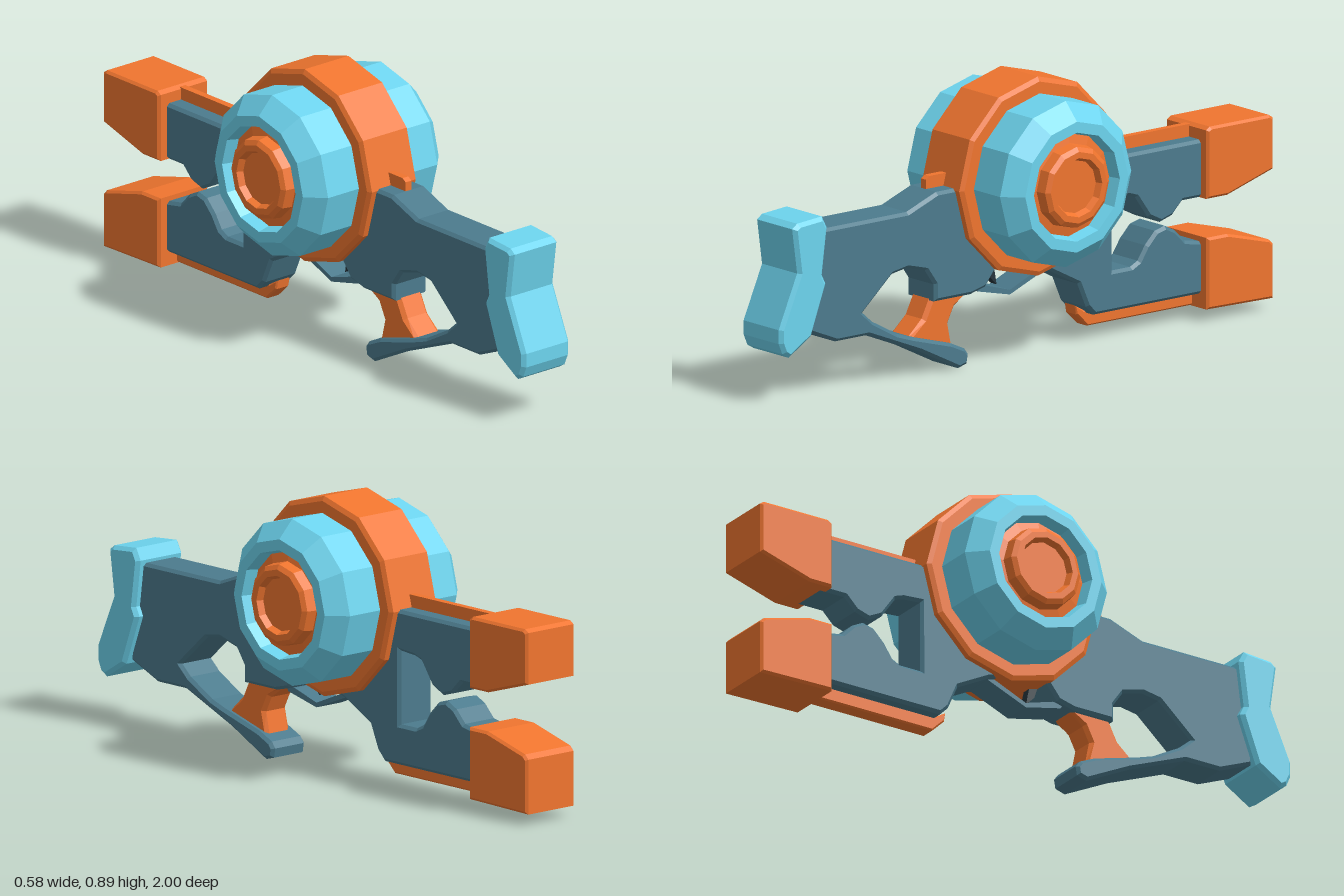
import * as THREE from 'three';

const paint = (color) => new THREE.MeshStandardMaterial({ color, flatShading: true });
const BLUE = paint(0x6dd4ee), STEEL = paint(0x4c7b8d), ORANGE = paint(0xf0752f), DARK = paint(0x26353c);

export function createModel() {
  const model = new THREE.Group();

  const add = (name, geometry, material) => {
    const mesh = new THREE.Mesh(geometry, material);
    mesh.name = name;
    model.add(mesh);
    return mesh;
  };

  // Side profile of [z, y] points, extruded across x with bevelled edges
  const slab = (name, points, halfWidth, bevel, material) => {
    const shape = new THREE.Shape(points.map(([z, y]) => new THREE.Vector2(z, y)));
    const geometry = new THREE.ExtrudeGeometry(shape, {
      depth: 2 * (halfWidth - bevel),
      bevelEnabled: bevel > 0,
      bevelThickness: bevel,
      bevelSize: bevel,
      bevelOffset: -bevel,
      bevelSegments: 1,
    });
    geometry.translate(0, 0, -(halfWidth - bevel)).rotateY(-Math.PI / 2);
    return add(name, geometry, material);
  };

  // Twelve-sided turned part around the x axis, from [radius, x] points
  const turned = (name, points, material) => {
    const geometry = new THREE.LatheGeometry(points.map(([r, x]) => new THREE.Vector2(r, x)), 12);
    geometry.rotateZ(-Math.PI / 2).translate(0, 0.58, -0.05);
    return add(name, geometry, material);
  };

  // Main frame: stock, forked front and lower hook in one outline
  slab('frame', [
    [0.84, 0.54], [0.46, 0.54], [0.34, 0.585], [-0.75, 0.585], [-0.75, 0.4],
    [-0.66, 0.4], [-0.62, 0.36], [-0.57, 0.345], [-0.52, 0.37], [-0.47, 0.44], [-0.44, 0.45],
    [-0.375, 0.455], [-0.375, 0.22], [-0.45, 0.22], [-0.48, 0.235], [-0.51, 0.28], [-0.55, 0.32],
    [-0.59, 0.33], [-0.63, 0.31], [-0.67, 0.27], [-0.75, 0.255], [-0.75, 0.09],
    [-0.3, 0.09], [-0.27, 0.12], [-0.235, 0.2], [-0.12, 0.26], [0, 0.3], [0.1, 0.3],
    [0.14, 0.25], [0.2, 0.235], [0.35, 0.235], [0.35, 0.29], [0.385, 0.34], [0.46, 0.36],
    [0.52, 0.35], [0.64, 0.245], [0.6, 0.21], [0.5, 0.155], [0.44, 0.135], [0.28, 0.09],
    [0.225, 0.065], [0.21, 0.045], [0.215, 0.015], [0.25, 0.005], [0.41, 0.085],
    [0.62, 0.17], [0.75, 0.17], [0.87, 0.22],
  ], 0.07, 0.01, STEEL);

  // Butt pad
  slab('buttPad', [
    [0.945, 0.565], [0.925, 0.58], [0.825, 0.588], [0.805, 0.55], [0.825, 0.4], [0.81, 0.37],
    [0.87, 0.21], [0.96, 0.155], [0.985, 0.17], [1, 0.205], [1, 0.25], [0.925, 0.42],
  ], 0.097, 0.012, BLUE);

  // Pistol grip, trigger and guard
  slab('grip', [
    [0.44, 0.125], [0.38, 0.18], [0.345, 0.25], [0.18, 0.25], [0.25, 0.2], [0.275, 0.15], [0.26, 0.075],
  ], 0.05, 0.012, ORANGE);
  slab('trigger', [
    [0.1, 0.31], [0.085, 0.265], [0.055, 0.235], [0.06, 0.265], [0.07, 0.31],
  ], 0.015, 0, DARK);
  slab('triggerGuard', [
    [0.17, 0.25], [0.13, 0.25], [0.03, 0.22], [-0.09, 0.27], [-0.12, 0.265], [0.03, 0.205], [0.16, 0.235],
  ], 0.05, 0, STEEL);

  // Rails along the top and the bottom
  slab('topRail', [[0.34, 0.57], [0.34, 0.615], [0.325, 0.625], [-0.75, 0.625], [-0.75, 0.57]], 0.012, 0, ORANGE);
  slab('bottomRail', [[-0.255, 0.12], [-0.26, 0.09], [-0.305, 0.047], [-0.75, 0.047], [-0.75, 0.1], [-0.29, 0.1]], 0.028, 0.005, ORANGE);

  // Fork end caps
  slab('upperEndCap', [
    [-0.73, 0.4], [-0.815, 0.4], [-1, 0.455], [-1, 0.62], [-0.985, 0.63], [-0.745, 0.63], [-0.73, 0.62],
  ], 0.103, 0.008, ORANGE);
  slab('lowerEndCap', [
    [-0.73, 0.045], [-1, 0.04], [-1, 0.215], [-0.985, 0.23], [-0.815, 0.275], [-0.73, 0.275],
  ], 0.103, 0.008, ORANGE);

  // Drum with a wide band, and a recessed hub on both sides
  turned('drumBand', [
    [0, -0.098], [0.305, -0.098], [0.32, -0.09], [0.32, 0.09], [0.305, 0.098], [0, 0.098],
  ], ORANGE);
  const half = [[0.267, 0.225], [0.21, 0.28], [0.175, 0.28], [0.165, 0.235], [0, 0.235]];
  turned('drum', [...half.map(([r, x]) => [r, -x]).reverse(), ...half], BLUE);
  const hub = [[0.166, 0.238], [0.135, 0.245], [0.13, 0.28], [0.115, 0.29], [0.095, 0.29], [0.085, 0.27], [0, 0.27]];
  turned('leftHub', [[0, 0.2], [0.16, 0.2], ...hub], ORANGE);
  turned('rightHub', [...hub.map(([r, x]) => [r, -x]).reverse(), [0.16, -0.2], [0, -0.2]], ORANGE);

  return model;
}
